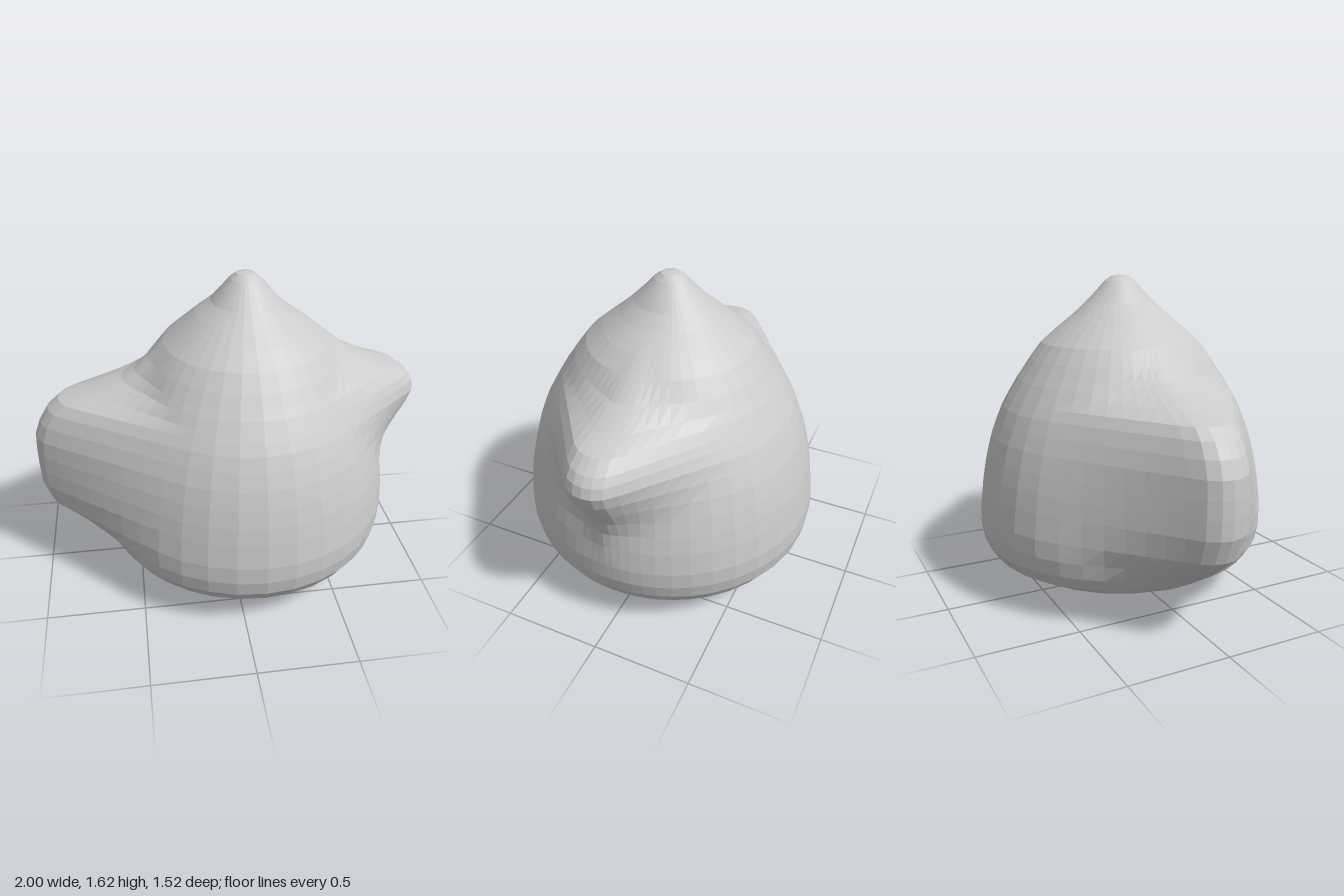
import * as THREE from 'three';

const AXIS = 0.09;   // x of the body's vertical axis
const SEGMENTS = 52;

// Horizontal sections: [height, half depth, left extent, right extent]
const SECTIONS = [
  [0.00, 0.02, 0.05, 0.11], [0.01, 0.17, -0.15, 0.2], [0.03, 0.32, -0.3, 0.42],
  [0.06, 0.45, -0.38, 0.55], [0.11, 0.58, -0.5, 0.69], [0.18, 0.7, -0.62, 0.78],
  [0.25, 0.745, -0.72, 0.82], [0.33, 0.76, -0.84, 0.84], [0.42, 0.76, -0.95, 0.845],
  [0.54, 0.745, -0.995, 0.845], [0.63, 0.73, -1, 0.85], [0.72, 0.71, -1, 0.88],
  [0.81, 0.685, -0.995, 0.93], [0.89, 0.655, -0.965, 0.975], [0.96, 0.625, -0.92, 1],
  [1.01, 0.597, -0.86, 0.985], [1.05, 0.573, -0.71, 0.955], [1.1, 0.543, -0.54, 0.89],
  [1.14, 0.515, -0.47, 0.76], [1.2, 0.475, -0.4, 0.62], [1.28, 0.415, -0.32, 0.52],
  [1.35, 0.335, -0.24, 0.43], [1.42, 0.25, -0.16, 0.33], [1.48, 0.185, -0.08, 0.26],
  [1.54, 0.125, -0.03, 0.21], [1.59, 0.08, 0.015, 0.165], [1.615, 0.045, 0.045, 0.135],
];

// Polar radius of a round body drawn out to a rounded tip at angle 0
function drawnOutRadius(angle, R, extent) {
  const r = Math.min(0.15, R * 0.5);
  const d = extent - r;
  const alpha = Math.acos(Math.min(1, (R - r) / d));
  if (angle >= alpha) return R;
  const tangent = Math.atan2(r * Math.sin(alpha), d + r * Math.cos(alpha));
  if (angle >= tangent) return R / Math.cos(angle - alpha);
  const s = d * Math.sin(angle);
  return d * Math.cos(angle) + Math.sqrt(Math.max(0, r * r - s * s));
}

// One closed ring; points gather near the two tips
function ringPoints([y, R, left, right]) {
  const points = [];
  for (let i = 0; i < SEGMENTS; i++) {
    const t = (i / SEGMENTS) * Math.PI * 2;
    const a = t - 0.3 * Math.sin(2 * t);
    const c = Math.cos(a), s = Math.sin(a);
    const extent = c >= 0 ? right - AXIS : AXIS - left;
    const rad = drawnOutRadius(Math.atan2(Math.abs(s), Math.abs(c)), R, Math.max(extent, R));
    const squash = Math.min(1, extent / R);
    points.push(AXIS + rad * c * squash, y, rad * s);
  }
  return points;
}

function bodyGeometry() {
  const positions = SECTIONS.flatMap(ringPoints);
  const index = [];
  const rings = SECTIONS.length;
  for (let j = 0; j < rings - 1; j++) {
    for (let i = 0; i < SEGMENTS; i++) {
      const k = (i + 1) % SEGMENTS;
      const a = j * SEGMENTS + i, b = j * SEGMENTS + k;
      index.push(a, a + SEGMENTS, b, b, a + SEGMENTS, b + SEGMENTS);
    }
  }
  // Close the base and the peak
  const base = rings * SEGMENTS, peak = base + 1;
  positions.push(AXIS, 0, 0, AXIS, 1.622, 0);
  const last = (rings - 1) * SEGMENTS;
  for (let i = 0; i < SEGMENTS; i++) {
    const k = (i + 1) % SEGMENTS;
    index.push(base, i, k, peak, last + k, last + i);
  }
  const geometry = new THREE.BufferGeometry();
  geometry.setAttribute('position', new THREE.Float32BufferAttribute(positions, 3));
  geometry.setIndex(index);
  geometry.computeVertexNormals();
  return geometry;
}

export function createModel() {
  const model = new THREE.Group();
  model.name = 'lumpyPot';
  // Round body with a peaked top, a broad side lobe and a spout-like lobe
  const material = new THREE.MeshStandardMaterial({ color: 0xcccccc, flatShading: true });
  const body = new THREE.Mesh(bodyGeometry(), material);
  body.name = 'body';
  model.add(body);
  return model;
}
